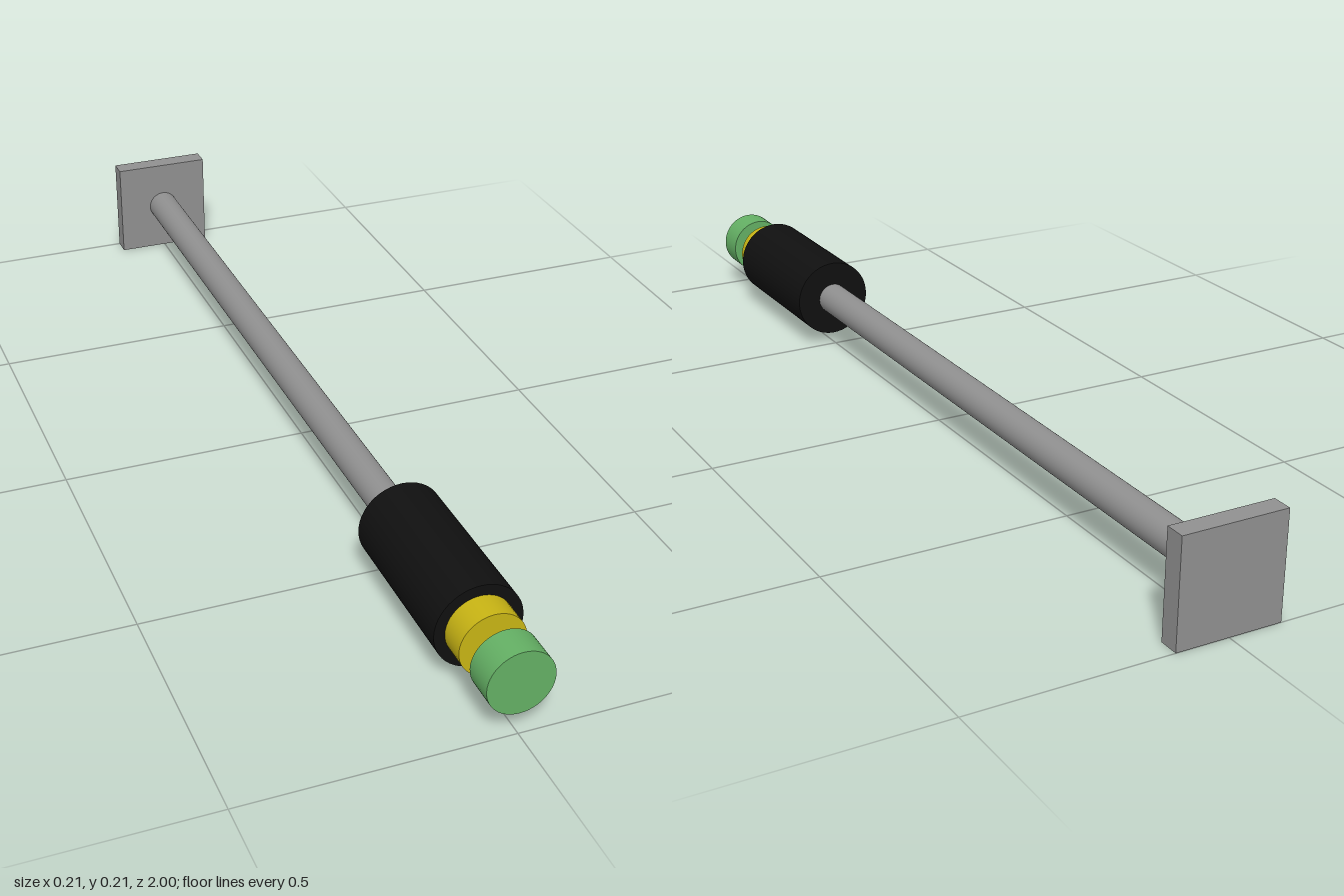
import * as THREE from 'three';

const AXIS_Y = 0.105;

function material(name, color) {
  const m = new THREE.MeshStandardMaterial({ color });
  m.name = name;
  return m;
}

export function createModel() {
  const group = new THREE.Group();
  group.name = 'plungerRod';

  const grey = material('grey metal', 0x909090);
  const black = material('black rubber', 0x101010);
  const yellow = material('yellow', 0xc8b414);
  const green = material('green', 0x64b064);

  // Cylinder lying along z between two depths
  function rod(name, radius, z0, z1, mat) {
    const geometry = new THREE.CylinderGeometry(radius, radius, z1 - z0, 48);
    geometry.rotateX(Math.PI / 2);
    const mesh = new THREE.Mesh(geometry, mat);
    mesh.position.set(0, AXIS_Y, (z0 + z1) / 2);
    mesh.name = name;
    group.add(mesh);
  }

  // Square plate at the back end
  const plate = new THREE.Mesh(new THREE.BoxGeometry(0.21, 0.21, 0.04), grey);
  plate.position.set(0, AXIS_Y, -0.98);
  plate.name = 'endPlate';
  group.add(plate);

  // Shaft, grip, collar and the separate front cap
  rod('shaft', 0.033, -0.96, 0.52, grey);
  rod('grip', 0.083, 0.51, 0.84, black);
  rod('collar', 0.0625, 0.83, 0.895, yellow);
  rod('frontCap', 0.0625, 0.937, 1, green);

  return group;
}
